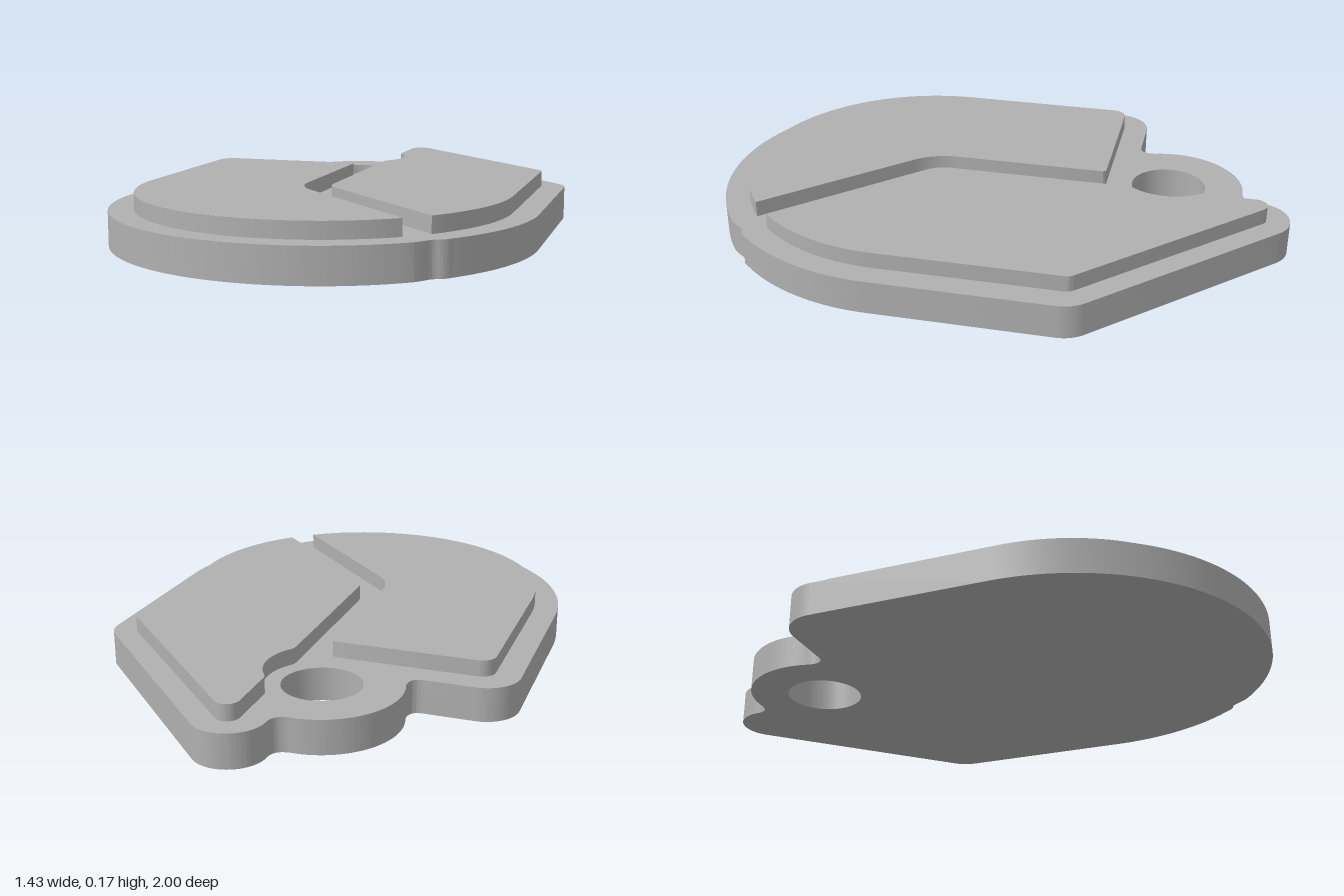
import * as THREE from 'three';
import { toCreasedNormals } from 'three/addons/utils/BufferGeometryUtils.js';

const PI = Math.PI;
const BASE_TOP = 0.115, PLATE_TOP = 0.17;
const ROUND_Z = -0.283; // centre of the big rounded end, in plan

const grey = new THREE.MeshStandardMaterial({ color: 0xb0b0b0 });
grey.name = 'grey';

// Extrude a plan shape (x, -z) upward between two heights
function slab(name, shape, y0, y1) {
  const flat = new THREE.ExtrudeGeometry(shape, { depth: y1 - y0, bevelEnabled: false, curveSegments: 32 });
  flat.rotateX(-PI / 2).translate(0, y0, 0);
  const mesh = new THREE.Mesh(toCreasedNormals(flat, 0.5), grey);
  mesh.name = name;
  return mesh;
}

// Tag outline with knob, ring lobe, small rim notch and a key hole
function baseShape() {
  const s = new THREE.Shape();
  s.absarc(0, ROUND_Z, 0.717, PI, 2 * PI - 0.892, false);
  s.quadraticCurveTo(0.468, -0.82, 0.48, -0.803);
  s.quadraticCurveTo(0.49, -0.787, 0.505, -0.783);
  s.quadraticCurveTo(0.525, -0.778, 0.54, -0.755);
  s.absarc(0, ROUND_Z, 0.717, -0.718, 0, false);
  s.absarc(0.597, 0.323, 0.12, 0, PI / 4, false);
  s.absarc(0.037, 0.88, 0.12, PI / 4, PI, false);
  s.quadraticCurveTo(-0.085, 0.833, -0.14, 0.832);
  s.absarc(-0.14, 0.57, 0.262, PI / 2, PI + 0.3, false);
  s.quadraticCurveTo(-0.385, 0.437, -0.43, 0.437);
  s.absarc(-0.597, 0.317, 0.12, PI / 2, PI, false);
  s.closePath();
  const hole = new THREE.Path();
  hole.absarc(-0.14, 0.57, 0.13, 0, 2 * PI, true);
  s.holes.push(hole);
  return s;
}

// Raised panel on the model's right, with a bent inner edge
function rightPanelShape() {
  const s = new THREE.Shape();
  s.absarc(0, ROUND_Z, 0.632, PI, 2 * PI - 0.889, false);
  s.absarc(0.117, -0.196, 0.21, 1.25 * PI, PI, true);
  s.absarc(-0.108, 0.335, 0.015, 0, PI / 2, false);
  s.absarc(-0.582, 0.3, 0.05, PI / 2, PI, false);
  s.closePath();
  return s;
}

// Raised panel on the model's left, relieved around the hole
function leftPanelShape() {
  const s = new THREE.Shape();
  s.absarc(0, ROUND_Z, 0.632, -0.737, 0, false);
  s.absarc(0.592, 0.332, 0.04, 0, PI / 4, false);
  s.absarc(0.04, 0.88, 0.04, PI / 4, PI, false);
  s.lineTo(0, 0.705);
  s.quadraticCurveTo(0, 0.69, 0.01, 0.677);
  s.absarc(-0.14, 0.57, 0.184, 0.62, -0.62, true);
  s.quadraticCurveTo(0, 0.45, 0, 0.435);
  s.absarc(0.117, -0.196, 0.117, PI, 1.25 * PI, false);
  s.closePath();
  return s;
}

export function createModel() {
  const model = new THREE.Group();
  model.name = 'keyTag';
  model.add(
    slab('base', baseShape(), 0, BASE_TOP),
    slab('rightPanel', rightPanelShape(), BASE_TOP, PLATE_TOP),
    slab('leftPanel', leftPanelShape(), BASE_TOP, PLATE_TOP),
  );
  return model;
}
